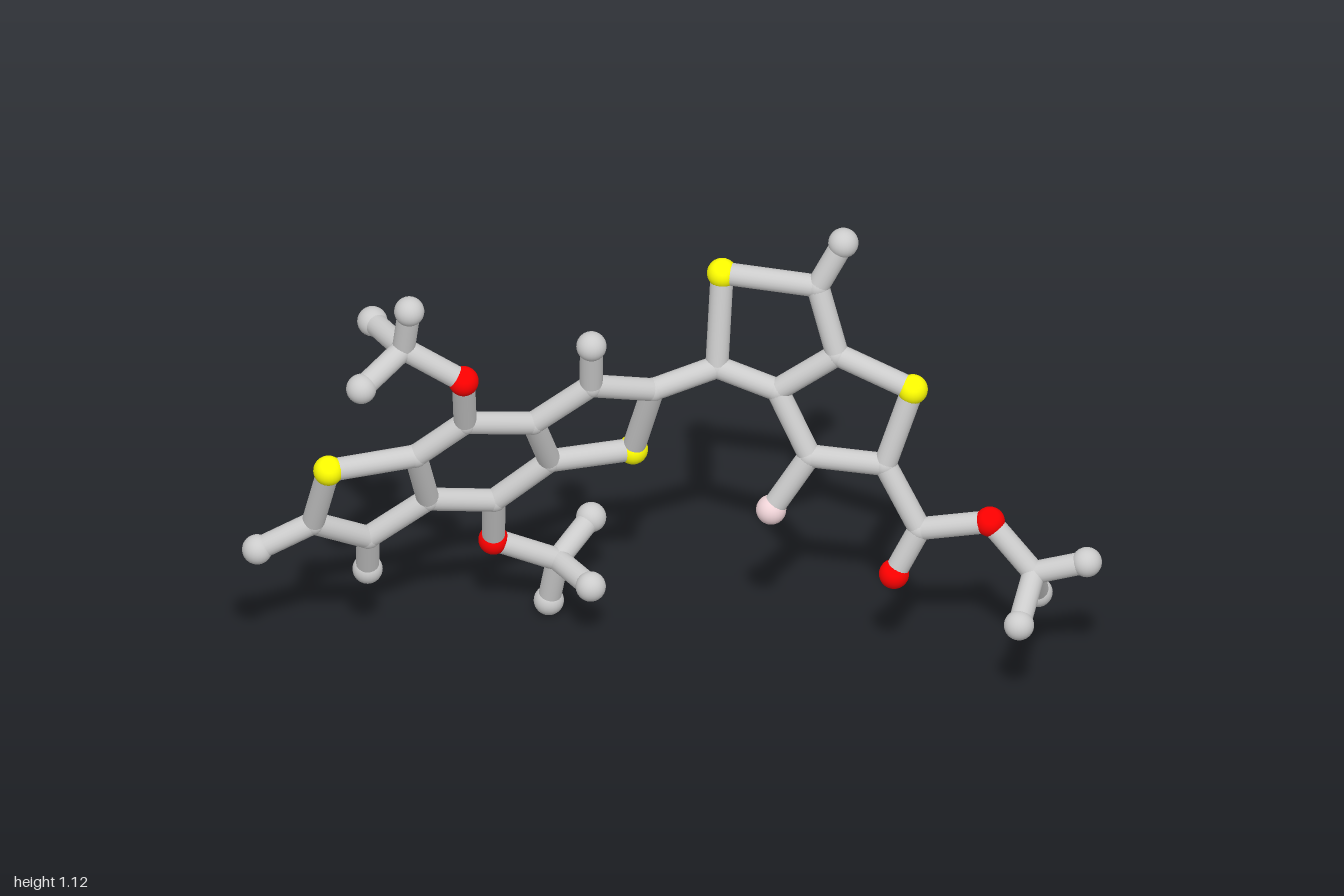
import * as THREE from 'three';

const BOND_R = 0.027, JOINT_R = 0.0285, END_R = 0.0355;
const mat = (color) => new THREE.MeshStandardMaterial({ color });
const GREY = mat(0xcccccc), RED = mat(0xff0000), YELLOW = mat(0xffff00), PINK = mat(0xf0d4d8);

// kinds of atom: name, radius, material
const KINDS = {
  c: ['carbonJoint', JOINT_R, GREY],
  h: ['endBall', END_R, GREY],
  o: ['oxygenBall', END_R, RED],
  s: ['sulfurBall', END_R, YELLOW],
  f: ['paleBall', END_R, PINK],
};

// tilted planes in which the two fused ring systems lie
const leftPlane = (x, y) => -0.01 - 0.29 * (x + 0.45) + 0.418 * (y - 0.545);
const rightPlane = (x, y) => 0.005 + 0.231 * (x - 0.56) - 0.18 * (y - 0.745);

// planar atoms: x, y
const LEFT = {
  s1: [-0.805, 0.61], c1: [-0.84, 0.42], c2: [-0.71, 0.33], c3: [-0.57, 0.437], c4: [-0.6, 0.61],
  c5: [-0.485, 0.705], c6: [-0.325, 0.66], c7: [-0.285, 0.505], c8: [-0.415, 0.39],
  c9: [-0.19, 0.765], c10: [-0.045, 0.71], s2: [-0.09, 0.495],
  h1: [-0.97, 0.355], h2: [-0.71, 0.21], o1: [-0.49, 0.865], o2: [-0.415, 0.24],
};
const RIGHT = {
  c11: [0.105, 0.745], s3: [0.118, 0.98], c12: [0.34, 0.975], c13: [0.385, 0.81], c14: [0.245, 0.705],
  s4: [0.56, 0.745], c15: [0.495, 0.55], c16: [0.32, 0.55], f1: [0.23, 0.405], h4: [0.4, 1.09],
  c17: [0.575, 0.4],
};
// atoms off the planes: x, y, z
const FREE = {
  h3: [-0.19, 0.895, 0.038],
  c18: [-0.63, 0.95, 0.125], h5: [-0.617, 1.07, 0.15], h6: [-0.73, 0.895, 0.21], h7: [-0.7, 0.94, -0.01],
  c19: [-0.265, 0.17, -0.168], h8: [-0.185, 0.222, -0.267], h9: [-0.19, 0.17, -0.05], h10: [-0.285, 0.038, -0.197],
  o3: [0.515, 0.28, 0.078], o4: [0.738, 0.44, 0.105],
  c20: [0.84, 0.325, 0.148], h11: [0.963, 0.367, 0.17], h12: [0.85, 0.215, 0.062], h13: [0.803, 0.257, 0.268],
};

// chains of bonded atoms
const CHAINS = {
  leftRings: ['s1 c1 c2 c3 c4 s1', 'c4 c5 c6 c7 c8 c3', 'c6 c9 c10 s2 c7', 'c1 h1', 'c2 h2', 'c9 h3'],
  ringLink: ['c10 c11'],
  rightRings: ['c11 s3 c12 c13 c14 c11', 'c13 s4 c15 c16 c14', 'c12 h4', 'c16 f1'],
  upperSideGroup: ['c5 o1 c18 h5', 'h6 c18 h7'],
  lowerSideGroup: ['c8 o2 c19 h8', 'h9 c19 h10'],
  endSideGroup: ['c15 c17 o4 c20 h11', 'c17 o3', 'h12 c20 h13'],
};

function makeBond(a, b) {
  const dir = b.clone().sub(a);
  const bond = new THREE.Mesh(new THREE.CylinderGeometry(BOND_R, BOND_R, dir.length(), 20, 1, true), GREY);
  bond.position.copy(a).add(b).multiplyScalar(0.5);
  bond.quaternion.setFromUnitVectors(new THREE.Vector3(0, 1, 0), dir.normalize());
  bond.name = 'bond';
  return bond;
}

export function createModel() {
  const model = new THREE.Group();
  model.name = 'moleculeModel';

  // gather atom positions
  const at = {};
  for (const [id, [x, y]] of Object.entries(LEFT)) at[id] = new THREE.Vector3(x, y, leftPlane(x, y));
  for (const [id, [x, y]] of Object.entries(RIGHT)) at[id] = new THREE.Vector3(x, y, rightPlane(x, y));
  for (const [id, p] of Object.entries(FREE)) at[id] = new THREE.Vector3(...p);

  // balls and joints
  const atoms = new THREE.Group();
  atoms.name = 'atoms';
  for (const [id, p] of Object.entries(at)) {
    const [name, radius, material] = KINDS[id[0]];
    const ball = new THREE.Mesh(new THREE.SphereGeometry(radius, 24, 16), material);
    ball.name = name;
    ball.position.copy(p);
    atoms.add(ball);
  }
  model.add(atoms);

  // rods
  for (const [name, chains] of Object.entries(CHAINS)) {
    const group = new THREE.Group();
    group.name = name;
    for (const chain of chains) {
      const ids = chain.split(' ');
      for (let i = 1; i < ids.length; i++) group.add(makeBond(at[ids[i - 1]], at[ids[i]]));
    }
    model.add(group);
  }
  return model;
}
